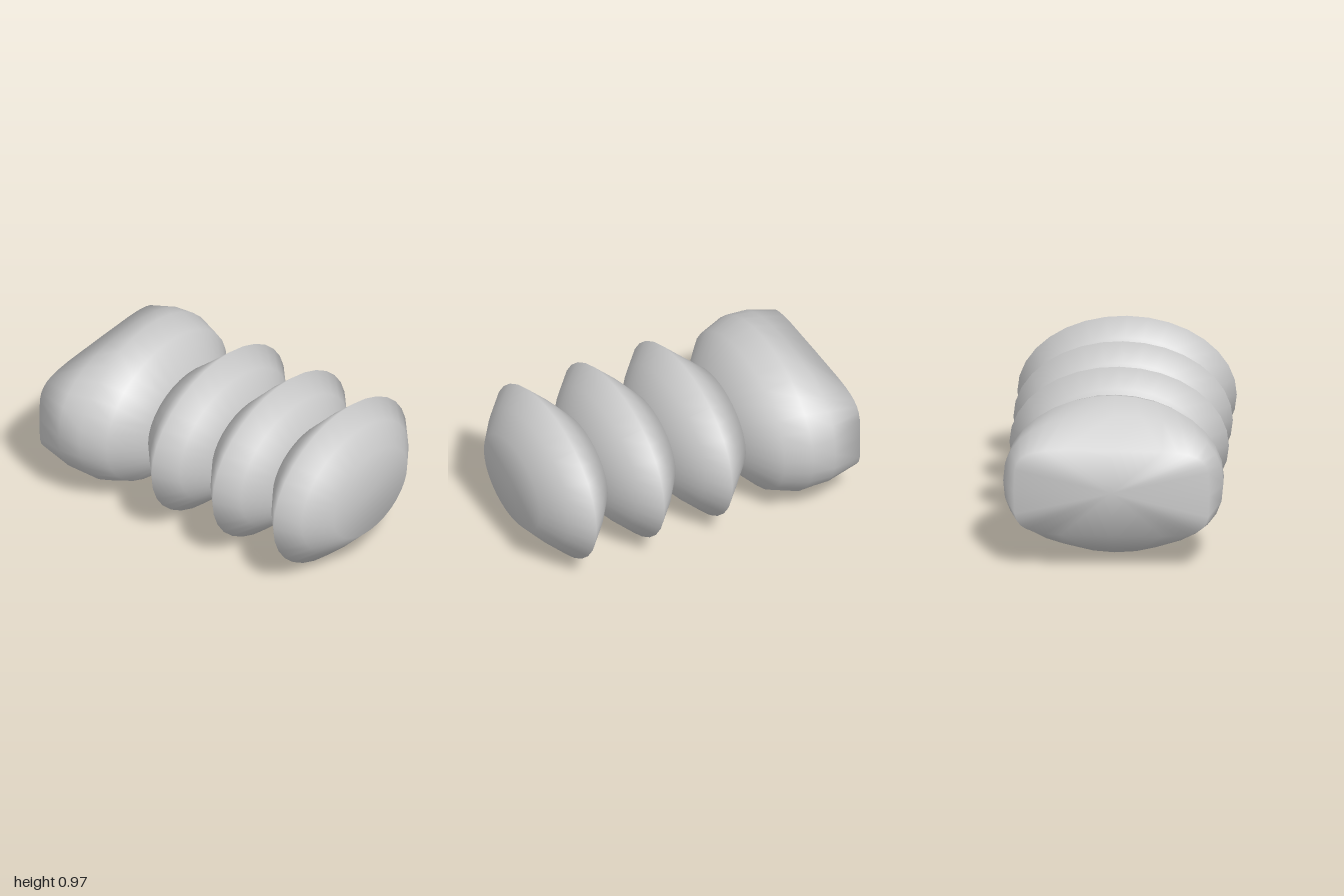
import * as THREE from 'three';

const SIDES = 32;
const MID_Y = 0.487;
const material = new THREE.MeshStandardMaterial({ color: 0xcccccc });

// Closed smooth solid lofted along x from [x, half height, half depth, roundness exponent]
function loft(name, sections) {
  const pos = [], index = [];
  const power = (v, n) => Math.sign(v) * Math.abs(v) ** (2 / n);
  for (const [x, ry, rz, n = 2] of sections) {
    for (let j = 0; j < SIDES; j++) {
      const t = (j / SIDES) * Math.PI * 2;
      pos.push(x, MID_Y + ry * power(Math.sin(t), n), rz * power(Math.cos(t), n));
    }
  }
  const last = (sections.length - 1) * SIDES;
  const capA = sections.length * SIDES, capB = capA + 1;
  pos.push(sections[0][0], MID_Y, 0, sections.at(-1)[0], MID_Y, 0);

  for (let j = 0; j < SIDES; j++) {
    const k = (j + 1) % SIDES;
    for (let r = 0; r < last; r += SIDES) {
      const a = r + j, b = r + k, c = a + SIDES, d = b + SIDES;
      index.push(a, c, b, b, c, d);
    }
    index.push(capA, j, k, capB, last + k, last + j);
  }
  const geometry = new THREE.BufferGeometry();
  geometry.setAttribute('position', new THREE.Float32BufferAttribute(pos, 3));
  geometry.setIndex(index);
  geometry.computeVertexNormals();
  const mesh = new THREE.Mesh(geometry, material);
  mesh.name = name;
  return mesh;
}

export function createModel() {
  const model = new THREE.Group();
  model.name = 'bellowsHose';

  // Mouth body: rounded rectangle at the end, swelling into an oval
  model.add(loft('mouthBody', [
    [-1, 0.264, 0.572, 5],
    [-0.8, 0.412, 0.645, 2.4],
    [-0.655, 0.486, 0.641],
    [-0.5, 0.437, 0.58],
    [-0.345, 0.287, 0.382],
  ]));

  // Three bellows folds, each a sharp-rimmed oval disc
  const folds = new THREE.Group();
  folds.name = 'bellows';
  const valleys = [-0.345, 0.104, 0.552, 1];
  for (let i = 0; i < 3; i++) {
    const x0 = valleys[i], w = valleys[i + 1] - x0;
    folds.add(loft(`fold${i + 1}`, [
      [x0, i ? 0.263 : 0.287, i ? 0.355 : 0.382],
      [x0 + w * 0.25, 0.379, 0.515],
      [x0 + w * 0.5, 0.477, 0.643],
      [x0 + w * 0.75, 0.379, 0.515],
      [x0 + w, 0.263, 0.355],
    ]));
  }
  model.add(folds);
  return model;
}
